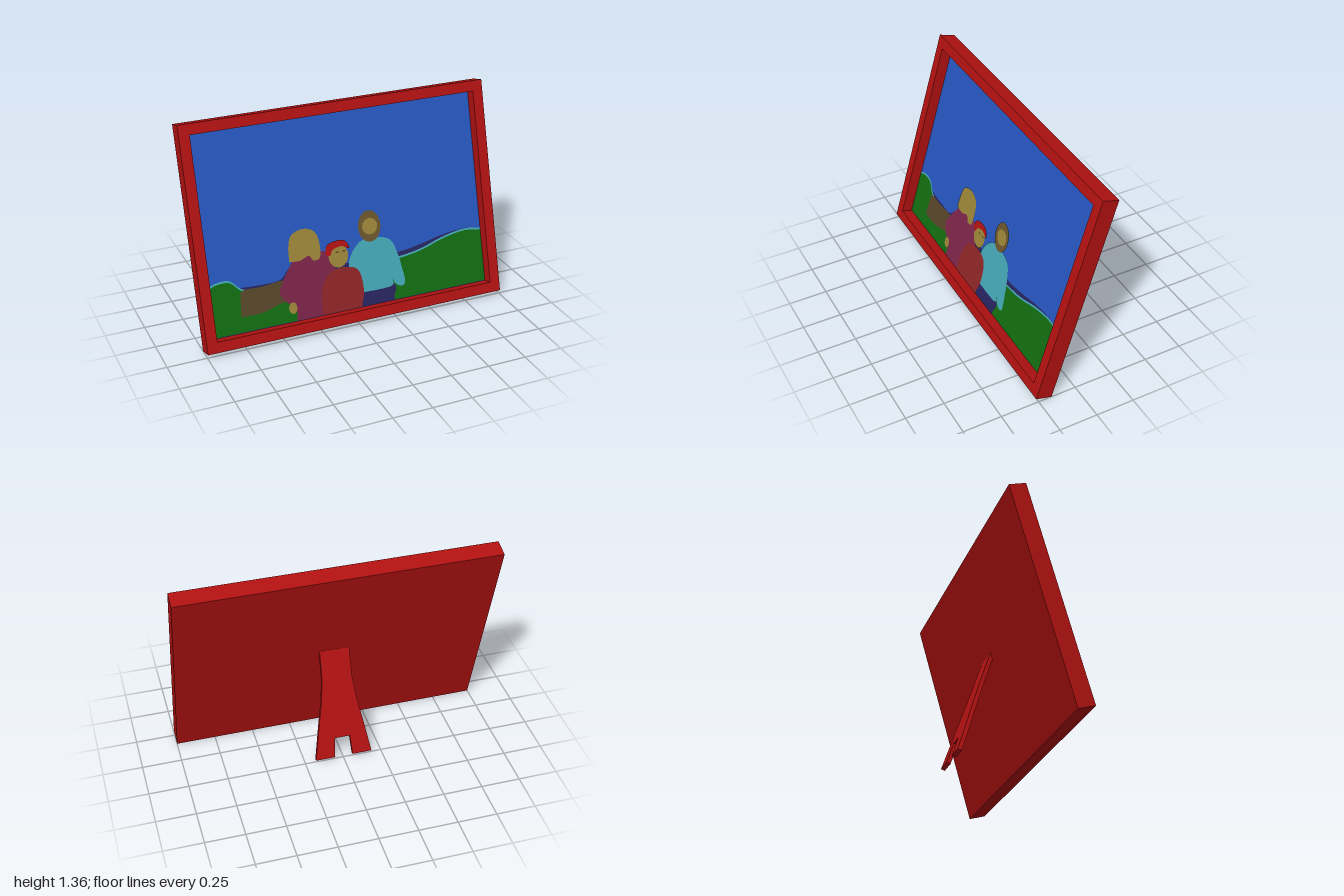
import * as THREE from 'three';

const colours = {
  frameRed: 0xb21111, skyBlue: 0x2756c0, grassGreen: 0x116c11, denimNavy: 0x272360, earthBrown: 0x554428,
  hairBrown: 0x6a542c, blouseplum: 0x7c2449, tan: 0x9b8538, shirtMaroon: 0x8d2527, shirtTeal: 0x44a6b6,
};
const mats = {};
for (const [name, color] of Object.entries(colours)) {
  mats[name] = new THREE.MeshStandardMaterial({ color });
  mats[name].name = name;
}

const LEAN = 0.277, HEIGHT = 1.388, DEPTH = 0.108, BACK = 0.034, RIM = 0.067;
const BASE = 0.078; // lowest visible picture height

function add(parent, name, geometry, material) {
  const mesh = new THREE.Mesh(geometry, material);
  mesh.name = name;
  parent.add(mesh);
  return mesh;
}

// Upright height to distance along the leaning picture
const up = (y) => (y - 0.01) / Math.cos(LEAN);

// Flat painted patch: smooth outline, optionally dropped to the bottom edge
function patch(parent, name, pts, material, layer, toBase = false) {
  const v = pts.map(([x, y]) => new THREE.Vector2(x, up(y)));
  const shape = new THREE.Shape();
  shape.moveTo(v[0].x, v[0].y);
  shape.splineThru(v.slice(1));
  if (toBase) {
    shape.lineTo(v[v.length - 1].x, up(BASE));
    shape.lineTo(v[0].x, up(BASE));
  }
  shape.closePath();
  const mesh = add(parent, name, new THREE.ShapeGeometry(shape, 4), material);
  mesh.position.z = BACK + 0.002 + layer * 0.001;
}

function oval(parent, name, x, y, rx, ry, material, layer) {
  const mesh = add(parent, name, new THREE.CircleGeometry(1, 24), material);
  mesh.scale.set(rx, ry / Math.cos(LEAN), 1);
  mesh.position.set(x, up(y), BACK + 0.002 + layer * 0.001);
}

function rect(path, x, y0, y1) {
  path.moveTo(-x, y0);
  path.lineTo(x, y0);
  path.lineTo(x, y1);
  path.lineTo(-x, y1);
  path.closePath();
  return path;
}

function buildPicture() {
  const g = new THREE.Group();
  g.name = 'picture';
  const sky = add(g, 'sky', new THREE.PlaneGeometry(1.868, HEIGHT - 2 * RIM), mats.skyBlue);
  sky.position.set(0, HEIGHT / 2, BACK + 0.001);

  // Landscape
  const hills = [[-0.932, 0.37], [-0.87, 0.39], [-0.79, 0.385], [-0.72, 0.325], [-0.6, 0.3], [-0.2, 0.28],
    [0.3, 0.325], [0.49, 0.35], [0.65, 0.395], [0.81, 0.42], [0.932, 0.405]];
  patch(g, 'distantRidge', [[-0.8, 0.36], [-0.72, 0.345], [-0.58, 0.338], [-0.47, 0.345], [-0.4, 0.41],
    [-0.33, 0.445], [-0.2, 0.42], [0, 0.36], [0.33, 0.368], [0.5, 0.39], [0.65, 0.42], [0.82, 0.434], [0.932, 0.41]],
  mats.denimNavy, 0, true);
  patch(g, 'lakeLine', hills.map(([x, y]) => [x, y + 0.012]), mats.shirtTeal, 1, true);
  patch(g, 'hills', hills, mats.grassGreen, 2, true);
  patch(g, 'field', [[-0.745, 0.17], [-0.738, 0.26], [-0.72, 0.325], [-0.6, 0.327], [-0.4, 0.33],
    [-0.36, 0.19], [-0.47, 0.205], [-0.6, 0.172], [-0.745, 0.17]], mats.earthBrown, 3);

  // Woman
  patch(g, 'womanBlouse', [[-0.39, 0.1], [-0.39, 0.14], [-0.44, 0.2], [-0.485, 0.26], [-0.46, 0.32], [-0.41, 0.4],
    [-0.36, 0.455], [-0.28, 0.47], [-0.16, 0.46], [-0.11, 0.36], [-0.08, 0.28], [-0.1, 0.1]], mats.blouseplum, 4, true);
  patch(g, 'womanHair', [[-0.4, 0.44], [-0.395, 0.53], [-0.37, 0.595], [-0.3, 0.622], [-0.23, 0.605], [-0.195, 0.55],
    [-0.193, 0.44], [-0.24, 0.42], [-0.27, 0.455], [-0.33, 0.435], [-0.4, 0.44]], mats.tan, 5);
  oval(g, 'womanHand', -0.41, 0.16, 0.027, 0.035, mats.tan, 5);

  // Man
  patch(g, 'manJeans', [[0.05, 0.1], [0.06, 0.18], [0.28, 0.18], [0.275, 0.1]], mats.denimNavy, 5, true);
  patch(g, 'manShirt', [[0.065, 0.165], [0.04, 0.26], [-0.012, 0.33], [0.01, 0.41], [0.08, 0.48], [0.17, 0.49],
    [0.28, 0.46], [0.325, 0.37], [0.345, 0.28], [0.36, 0.18], [0.33, 0.157], [0.29, 0.18], [0.275, 0.21],
    [0.26, 0.167], [0.065, 0.165]], mats.shirtTeal, 6);
  oval(g, 'manHairAndBeard', 0.153, 0.563, 0.077, 0.097, mats.hairBrown, 7);
  oval(g, 'manFace', 0.155, 0.562, 0.052, 0.05, mats.tan, 8);

  // Child
  oval(g, 'childFace', -0.075, 0.42, 0.066, 0.072, mats.tan, 6);
  patch(g, 'childShirt', [[-0.22, 0.1], [-0.215, 0.21], [-0.165, 0.31], [-0.08, 0.345], [0.02, 0.33],
    [0.06, 0.28], [0.07, 0.17], [0.05, 0.1]], mats.shirtMaroon, 7, true);
  patch(g, 'childCap', [[-0.16, 0.44], [-0.15, 0.49], [-0.1, 0.512], [-0.03, 0.508], [0, 0.47], [-0.005, 0.455],
    [-0.05, 0.475], [-0.11, 0.462], [-0.13, 0.43], [-0.16, 0.44]], mats.frameRed, 8);
  for (const x of [-0.08, -0.035]) oval(g, 'childEye', x, 0.443, 0.012, 0.005, mats.earthBrown, 8);
  return g;
}

export function createModel() {
  const model = new THREE.Group();
  model.name = 'pictureFrame';

  // Leaning frame: rim with opening, closed by a back panel
  const frame = new THREE.Group();
  frame.name = 'frame';
  frame.position.z = 0.163;
  frame.rotation.x = -LEAN;
  const rim = rect(new THREE.Shape(), 1, 0, HEIGHT);
  rim.holes.push(rect(new THREE.Path(), 1 - RIM, RIM, HEIGHT - RIM));
  const rimMesh = add(frame, 'rim',
    new THREE.ExtrudeGeometry(rim, { depth: DEPTH - BACK, bevelEnabled: false }), mats.frameRed);
  rimMesh.position.z = BACK;
  const panel = add(frame, 'backPanel', new THREE.BoxGeometry(2, HEIGHT, BACK), mats.frameRed);
  panel.position.set(0, HEIGHT / 2, BACK / 2);
  frame.add(buildPicture());
  model.add(frame);

  // Flared rear stand with two feet
  const half = [[0.05, 0.13], [0.058, 0], [0.183, 0], [0.148, 0.2], [0.115, 0.38], [0.097, 0.52], [0.095, 0.721]];
  const outline = [...half, ...half.map(([x, y]) => [-x, y]).reverse()];
  const shape = new THREE.Shape(outline.map(([x, y]) => new THREE.Vector2(x, y)));
  const stand = add(model, 'stand',
    new THREE.ExtrudeGeometry(shape, { depth: 0.026, bevelEnabled: false }), mats.frameRed);
  stand.position.set(0, 0.023, -0.265);
  stand.rotation.x = 0.317;
  return model;
}
